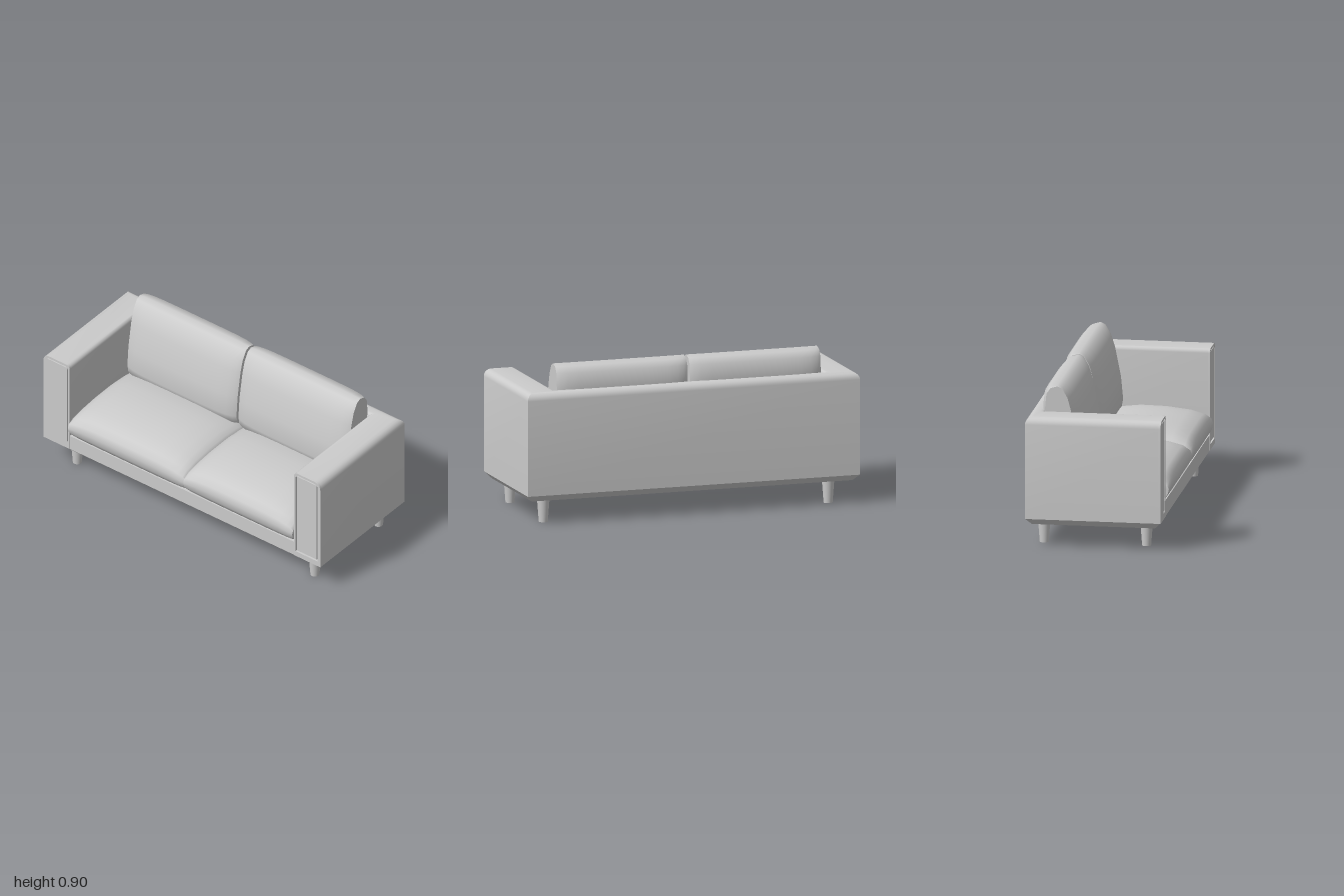
import * as THREE from 'three';
import { toCreasedNormals } from 'three/addons/utils/BufferGeometryUtils.js';

const material = new THREE.MeshStandardMaterial({ color: 0xcccccc });

// Skin over a row of closed cross-sections, with both ends capped
function skin(rings, crease) {
  const n = rings[0].length, pos = [], idx = [];
  rings.forEach(r => r.forEach(p => pos.push(p.x, p.y, p.z)));
  for (let i = 0; i < rings.length - 1; i++) {
    for (let j = 0; j < n; j++) {
      const a = i * n + j, b = i * n + (j + 1) % n;
      idx.push(a, a + n, b + n, a, b + n, b);
    }
  }
  [0, rings.length - 1].forEach((i, end) => {
    const c = new THREE.Vector3();
    rings[i].forEach(p => c.addScaledVector(p, 1 / n));
    const k = pos.length / 3;
    pos.push(c.x, c.y, c.z);
    for (let j = 0; j < n; j++) {
      const a = i * n + j, b = i * n + (j + 1) % n;
      if (end) idx.push(k, b, a); else idx.push(k, a, b);
    }
  });
  const g = new THREE.BufferGeometry();
  g.setAttribute('position', new THREE.Float32BufferAttribute(pos, 3));
  g.setIndex(idx);
  return toCreasedNormals(g, crease);
}

// Cushion: a (z, y) profile run from x0 to x1, shrinking about (cz, cy) at the ends
function cushion(profile, x0, x1, cz, cy, stations) {
  const all = [...stations, ...stations.slice().reverse().map(([t, sz, sy]) => [1 - t, sz, sy])];
  return skin(all.map(([t, sz, sy]) => profile.map(([z, y]) =>
    new THREE.Vector3(x0 + (x1 - x0) * t, cy + (y - cy) * sy, cz + (z - cz) * sz))), 1.0);
}

// Arm section as [distance in from the outer side, height]
function armProfile() {
  const pts = [[0, 0.167]];
  const arc = (cd, cy, r, from) => {
    for (let i = 0; i <= 5; i++) {
      const a = from - (i / 5) * Math.PI / 2;
      pts.push([cd + r * Math.cos(a), cy + r * Math.sin(a)]);
    }
  };
  arc(0.042, 0.72, 0.042, Math.PI);
  arc(0.165, 0.737, 0.025, Math.PI / 2);
  pts.push([0.19, 0.167]);
  return pts;
}

export function createModel() {
  const group = new THREE.Group();
  const add = (name, geometry, x = 0, y = 0, z = 0) => {
    const m = new THREE.Mesh(geometry, material);
    m.name = name;
    m.position.set(x, y, z);
    group.add(m);
    return m;
  };

  // Arms and back: one section swept round a U with mitred corners
  const section = armProfile();
  const ring = (side, corner) => section.map(([d, y]) => {
    const inset = d < 0.095 ? d : d - 0.1;
    return new THREE.Vector3(side * (1 - d), y, corner ? -0.402 + inset : 0.37);
  });
  add('armsAndBack', skin([ring(1, false), ring(1, true), ring(-1, true), ring(-1, false)], 0.6));

  // Seat deck between the arms
  add('seatDeck', new THREE.BoxGeometry(1.64, 0.093, 0.73), 0, 0.2135, 0.015);

  // Plinth, narrowing towards the floor
  const plinth = new THREE.BoxGeometry(2, 0.037, 0.782);
  const p = plinth.attributes.position;
  for (let i = 0; i < p.count; i++) {
    if (p.getY(i) < 0) {
      p.setX(i, p.getX(i) * 0.965);
      p.setZ(i, p.getZ(i) * 0.908);
    }
  }
  plinth.computeVertexNormals();
  add('plinth', plinth, 0, 0.1495, -0.011);

  // Arm fronts: raised rim with a panel set into it
  for (const s of [1, -1]) {
    const shape = new THREE.Shape(section.map(([d, y]) => new THREE.Vector2(s * (1 - d), y)));
    const hole = [[0.821, 0.2], [0.981, 0.2], [0.981, 0.73], [0.965, 0.747], [0.837, 0.747], [0.821, 0.73]];
    shape.holes.push(new THREE.Path(hole.map(([x, y]) => new THREE.Vector2(s * x, y))));
    const side = s > 0 ? 'left' : 'right';
    add(side + 'ArmRim', toCreasedNormals(
      new THREE.ExtrudeGeometry(shape, { depth: 0.012, bevelEnabled: false }), 0.6), 0, 0, 0.37);
    add(side + 'ArmPanel', new THREE.BoxGeometry(0.142, 0.528, 0.012), s * 0.901, 0.4735, 0.373);
  }

  // Seat cushions
  const seat = [[0.398, 0.3], [0.405, 0.345], [0.395, 0.385], [0.36, 0.415], [0.28, 0.44],
    [0.15, 0.457], [0, 0.46], [-0.12, 0.445], [-0.25, 0.41], [-0.29, 0.35], [-0.25, 0.262],
    [0.33, 0.261], [0.38, 0.268]];
  const seatEnds = [[0, 0.985, 0.62], [0.02, 0.995, 0.73], [0.06, 1, 0.83], [0.13, 1, 0.92],
    [0.24, 1, 0.98], [0.38, 1, 1]];
  add('rightSeatCushion', cushion(seat, -0.81, 0.03, 0.05, 0.29, seatEnds));
  add('leftSeatCushion', cushion(seat, 0.02, 0.81, 0.05, 0.29, seatEnds));

  // Leaning back cushions
  const back = [[-0.11, 0.42], [-0.1, 0.47], [-0.113, 0.6], [-0.148, 0.76], [-0.175, 0.835],
    [-0.215, 0.888], [-0.252, 0.902], [-0.305, 0.89], [-0.335, 0.855], [-0.345, 0.77],
    [-0.33, 0.6], [-0.29, 0.45], [-0.24, 0.4], [-0.15, 0.395]];
  const backEnds = [[0, 0.76, 0.997], [0.03, 0.86, 1], [0.08, 0.94, 1], [0.16, 0.985, 1], [0.3, 1, 1]];
  add('rightBackCushion', cushion(back, -0.792, -0.004, -0.23, 0.65, backEnds));
  add('leftBackCushion', cushion(back, 0.01, 0.798, -0.23, 0.65, backEnds));

  // Tapered legs
  const leg = new THREE.CylinderGeometry(0.036, 0.026, 0.133, 24);
  for (const x of [-0.837, 0.879]) {
    for (const z of [0.276, -0.315]) add(z > 0 ? 'frontLeg' : 'backLeg', leg, x, 0.0665, z);
  }
  return group;
}
